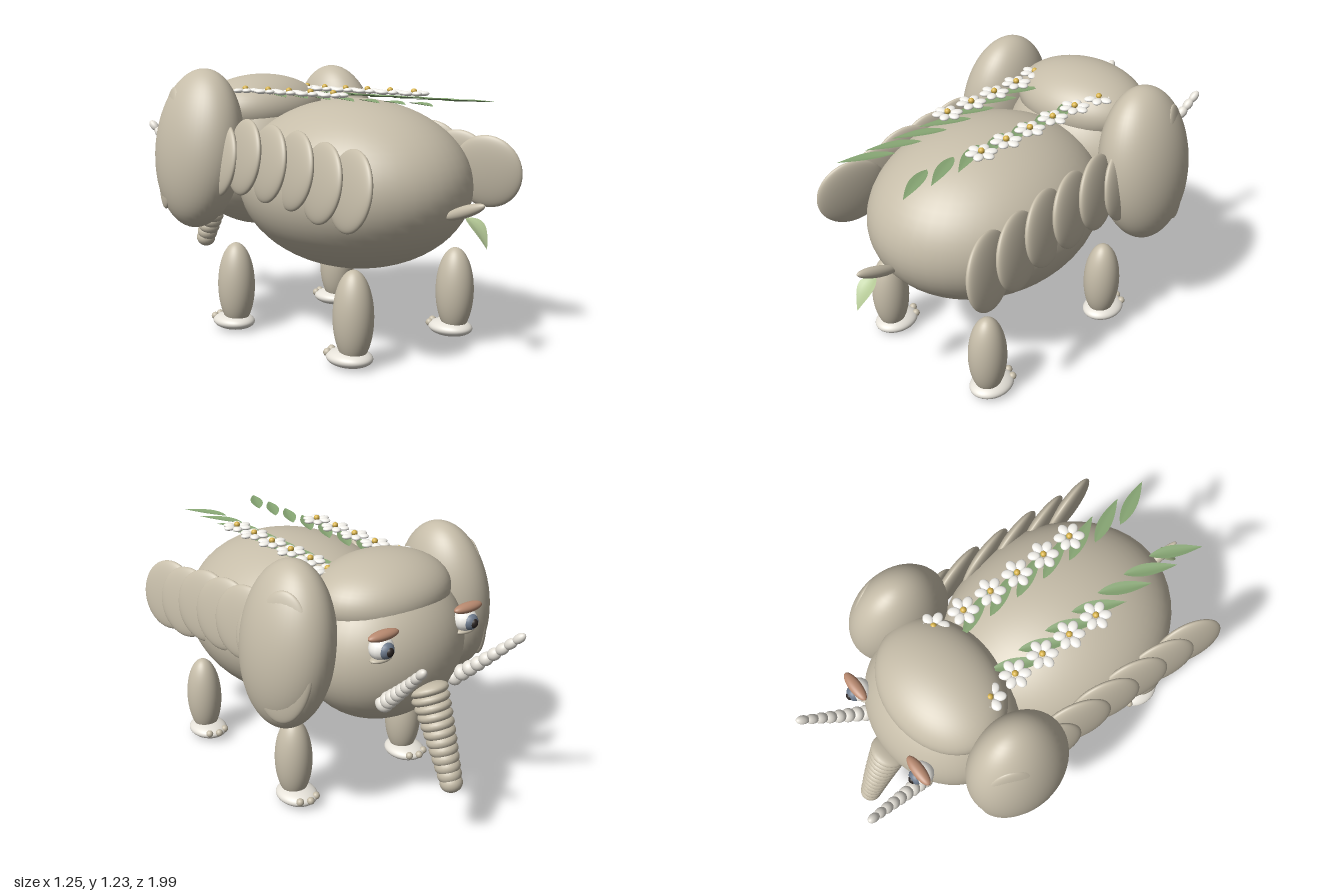
import * as THREE from 'three';

const mat = (color, side = THREE.FrontSide) => new THREE.MeshStandardMaterial({ color, side });
const hide = mat(0xc6bda9), pale = mat(0xe6e2d9), white = mat(0xf4f2ec), lidMat = mat(0xb98a70);
const irisMat = mat(0x6d7a8c), dark = mat(0x2a2422), yellow = mat(0xd9b44a);
const green = mat(0x86a573, THREE.DoubleSide), lightGreen = mat(0xb3c795, THREE.DoubleSide);
const bigBall = new THREE.SphereGeometry(1, 48, 32);
const smallBall = new THREE.SphereGeometry(1, 16, 12);

// Ellipsoid with radii r at position p, rotated by Euler angles rot
function blob(parent, name, p, r, material = hide, rot = [0, 0, 0]) {
  const m = new THREE.Mesh(Math.max(...r) > 0.07 ? bigBall : smallBall, material);
  m.name = name;
  m.position.set(...p);
  m.scale.set(...r);
  m.rotation.set(...rot);
  parent.add(m);
  return m;
}

function group(parent, name) {
  const g = new THREE.Group();
  g.name = name;
  parent.add(g);
  return g;
}

// Pointed, lightly folded leaf running along +z, drooping by the given amount
function leafGeometry(length, halfWidth, droop = 0) {
  const geo = new THREE.PlaneGeometry(2, 1, 4, 14);
  const pos = geo.attributes.position;
  for (let i = 0; i < pos.count; i++) {
    const u = pos.getX(i), t = 0.5 - pos.getY(i);
    const w = halfWidth * Math.sin(Math.PI * Math.pow(t, 0.8));
    pos.setXYZ(i, u * w, Math.abs(u) * w * 0.25 - droop * t * t, t * length);
  }
  geo.computeVertexNormals();
  return geo;
}

function flower(parent, x, y, z) {
  const f = group(parent, 'flower');
  f.position.set(x, y, z);
  for (let i = 0; i < 6; i++) {
    const a = (i / 6) * Math.PI * 2;
    blob(f, 'petal', [Math.cos(a) * 0.042, 0, Math.sin(a) * 0.042], [0.028, 0.011, 0.022], white, [0, -a, 0]);
  }
  blob(f, 'flowerCentre', [0, 0.01, 0], [0.014, 0.013, 0.014], yellow);
}

// Beads strung along a curve, flattened along its direction
function beads(parent, name, points, count, r0, r1, flat0, flat1, material) {
  const curve = new THREE.CatmullRomCurve3(points.map(p => new THREE.Vector3(...p)));
  const up = new THREE.Vector3(0, 1, 0);
  for (let i = 0; i < count; i++) {
    const t = i / (count - 1), r = r0 + (r1 - r0) * t, h = flat0 + (flat1 - flat0) * t;
    const m = blob(parent, name, curve.getPointAt(t).toArray(), [r, h, r], material);
    m.geometry = new THREE.SphereGeometry(1, 24, 16);
    m.quaternion.setFromUnitVectors(up, curve.getTangentAt(t));
  }
}

export function createModel() {
  const model = new THREE.Group();
  model.name = 'elephant';

  // Body, head and crown
  blob(model, 'body', [0, 0.725, 0.22], [0.48, 0.385, 0.58]);
  blob(model, 'head', [0, 0.8, -0.43], [0.39, 0.345, 0.33]);
  blob(model, 'crown', [0, 1.03, -0.42], [0.335, 0.172, 0.255]);

  // Trunk of stacked rings
  const trunk = group(model, 'trunk');
  beads(trunk, 'trunkRing', [[0, 0.68, -0.74], [0, 0.51, -0.82], [0, 0.305, -0.905]],
    12, 0.088, 0.05, 0.034, 0.044, hide);

  // Tail with a leaf tuft
  const tail = group(model, 'tail');
  blob(tail, 'tailStem', [0, 0.668, 0.865], [0.024, 0.026, 0.11], hide, [-0.35, 0, 0]);
  const tuft = new THREE.Mesh(leafGeometry(0.14, 0.046, 0.08), lightGreen);
  tuft.name = 'tailLeaf';
  tuft.position.set(0, 0.645, 0.875);
  tuft.rotation.x = 0.3;
  tail.add(tuft);

  const garlandLeaf = leafGeometry(0.245, 0.03);
  const plateHeights = [0.775, 0.79, 0.825, 0.84, 0.855, 0.83];

  for (const s of [1, -1]) {
    const side = s > 0 ? 'left' : 'right';

    // Ears
    const ear = group(model, side + 'Ear');
    blob(ear, 'ear', [s * 0.445, 0.87, -0.348], [0.178, 0.37, 0.245], hide, [0, 0, s * 0.125]);
    blob(ear, 'innerEar', [s * 0.54, 0.87, -0.445], [0.04, 0.285, 0.15], hide, [0, s * 0.42, s * 0.1]);

    // Overlapping plates along the flank
    const flank = group(model, side + 'FlankPlates');
    plateHeights.forEach((y, i) => blob(flank, 'plate',
      [s * 0.443, y, 0.64 - i * 0.166], [0.036, 0.17, 0.168], hide, [0, s * 0.28, s * 0.15]));

    // Legs, feet and toes
    for (const [name, z] of [['Front', -0.225], ['Hind', 0.555]]) {
      const leg = group(model, side + name + 'Leg');
      blob(leg, 'leg', [s * 0.333, 0.222, z], [0.085, 0.203, 0.09]);
      blob(leg, 'foot', [s * 0.333, 0.043, z - 0.022], [0.091, 0.039, 0.11], pale);
      for (const k of [-1, 0, 1])
        blob(leg, 'toe', [s * 0.333 + k * 0.045, 0.055, z - 0.13 + Math.abs(k) * 0.02], [0.018, 0.018, 0.018]);
    }

    // Eyes
    const eye = group(model, side + 'Eye');
    blob(eye, 'eyeball', [s * 0.235, 0.925, -0.7], [0.055, 0.05, 0.05], white);
    blob(eye, 'iris', [s * 0.235, 0.925, -0.733], [0.036, 0.036, 0.028], irisMat);
    blob(eye, 'pupil', [s * 0.235, 0.925, -0.752], [0.019, 0.021, 0.016], dark);
    blob(eye, 'upperLid', [s * 0.235, 0.985, -0.712], [0.078, 0.022, 0.028], lidMat);
    blob(eye, 'lowerLid', [s * 0.235, 0.877, -0.7], [0.055, 0.014, 0.03], hide);

    // Tusks
    const tusk = group(model, side + 'Tusk');
    beads(tusk, 'tuskBead', [[s * 0.2, 0.66, -0.69], [s * 0.235, 0.79, -0.835], [s * 0.27, 0.925, -0.975]],
      9, 0.04, 0.02, 0.032, 0.034, pale);

    // Garland of leaves and flowers on the back
    const garland = group(model, side + 'Garland');
    for (let i = 0; i < 7; i++) {
      const leaf = new THREE.Mesh(garlandLeaf, green);
      leaf.name = 'leaf';
      leaf.position.set(s * 0.098, 1.11, 0.645 - i * 0.145);
      leaf.rotation.y = s * 0.46;
      garland.add(leaf);
    }
    const count = s > 0 ? 6 : 5;
    for (let i = 0; i < count; i++)
      flower(garland, s * (i ? 0.182 : 0.2), 1.13, -0.305 + i * 0.145);
  }
  return model;
}
